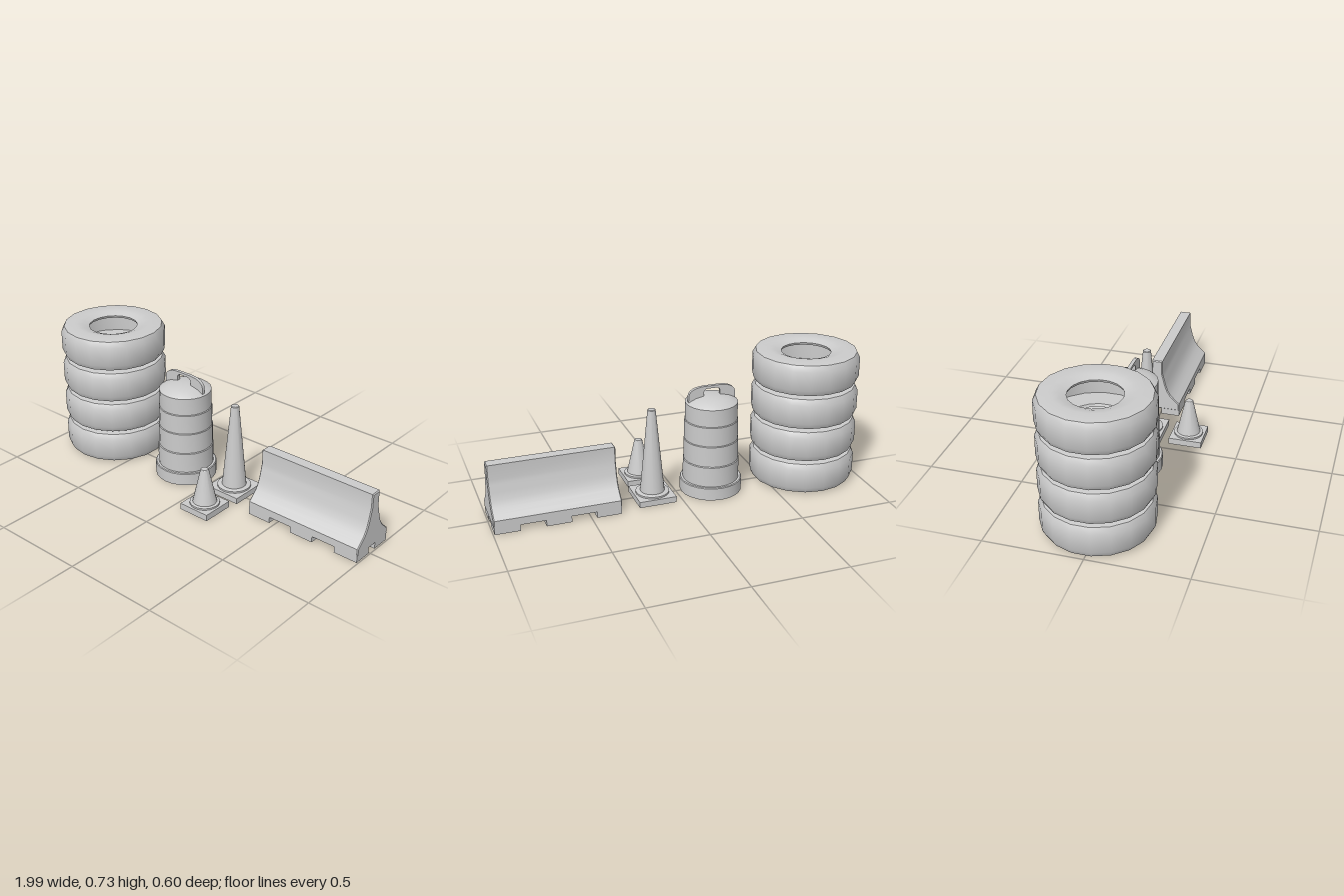
import * as THREE from 'three';
import { toCreasedNormals } from 'three/addons/utils/BufferGeometryUtils.js';

const material = new THREE.MeshStandardMaterial({ color: 0xcccccc });

function add(parent, name, geometry, x = 0, y = 0, z = 0) {
  const mesh = new THREE.Mesh(geometry, material);
  mesh.name = name;
  mesh.position.set(x, y, z);
  parent.add(mesh);
  return mesh;
}

function group(parent, name, x, z) {
  const g = new THREE.Group();
  g.name = name;
  g.position.set(x, 0, z);
  parent.add(g);
  return g;
}

// Revolved [radius, height] profile, smooth around and sharp at the steps
function lathe(points, sides, crease = 0.5) {
  const profile = points.map(([r, y]) => new THREE.Vector2(r, y));
  return toCreasedNormals(new THREE.LatheGeometry(profile, sides), crease);
}

// Stack of four hollow tyres
function addTyres(root) {
  const stack = group(root, 'tyreStack', -0.72, -0.018);
  const geometry = lathe([
    [0.13, 0.02], [0.165, 0.007], [0.2, 0.002], [0.265, 0.01], [0.281, 0.04],
    [0.281, 0.141], [0.265, 0.171], [0.2, 0.179], [0.165, 0.174], [0.13, 0.161],
    [0.135, 0.148], [0.24, 0.148], [0.24, 0.033], [0.135, 0.033], [0.13, 0.02],
  ], 18, 0.7);
  for (let i = 0; i < 4; i++) add(stack, 'tyre', geometry, 0, i * 0.182, 0);
}

// Traffic barrel with weighted base ring and carrying handle
function addBarrel(root) {
  const barrel = group(root, 'barrel', -0.192, -0.013);
  add(barrel, 'barrelBase', lathe([
    [0.132, 0.04], [0.132, 0], [0.164, 0], [0.164, 0.066], [0.16, 0.07], [0.14, 0.07],
  ], 24));
  add(barrel, 'barrelBody', lathe([
    [0, 0.03], [0.148, 0.03], [0.148, 0.178], [0.144, 0.182], [0.144, 0.292], [0.141, 0.296],
    [0.141, 0.399], [0.1375, 0.403], [0.1375, 0.495], [0.125, 0.504], [0.09, 0.52],
    [0.045, 0.529], [0, 0.53],
  ], 24));

  const shape = new THREE.Shape();
  shape.moveTo(-0.128, 0.49);
  shape.lineTo(0.128, 0.49);
  shape.lineTo(0.128, 0.535);
  shape.bezierCurveTo(0.126, 0.565, 0.09, 0.581, 0.04, 0.581);
  shape.lineTo(-0.04, 0.581);
  shape.bezierCurveTo(-0.09, 0.581, -0.126, 0.565, -0.128, 0.535);
  const hole = new THREE.Path();
  hole.moveTo(-0.045, 0.52);
  hole.lineTo(-0.045, 0.548);
  hole.quadraticCurveTo(-0.043, 0.567, -0.022, 0.567);
  hole.lineTo(0.022, 0.567);
  hole.quadraticCurveTo(0.043, 0.567, 0.045, 0.548);
  hole.lineTo(0.045, 0.52);
  shape.holes.push(hole);
  const handle = new THREE.ExtrudeGeometry(shape, { depth: 0.018, bevelEnabled: false, curveSegments: 6 });
  add(barrel, 'barrelHandle', toCreasedNormals(handle, 0.6), 0, 0, -0.007);
}

// Cone on a square foot with a round collar
function addCone(root, name, x, z, footHalf, footHeight, collar, radius, height) {
  const cone = group(root, name, x, z);
  add(cone, 'coneFoot', new THREE.BoxGeometry(footHalf * 2, footHeight, footHalf * 2), 0, footHeight / 2, 0);
  const collarTop = footHeight + 0.012;
  add(cone, 'coneBody', lathe([
    [collar, footHeight - 0.002], [collar, collarTop - 0.003], [collar - 0.006, collarTop],
    [radius, collarTop], [0.021, height - 0.003], [0.018, height], [0, height],
  ], 24));
}

// Concrete road barrier standing on six feet
function addBarrier(root) {
  const barrier = group(root, 'barrier', 0.6675, -0.02);
  const length = 0.655, bevel = 0.005, under = 0.033;
  const half = [[0.122, under + bevel], [0.122, 0.072], [0.098, 0.094], [0.074, 0.118],
    [0.055, 0.148], [0.042, 0.185], [0.032, 0.225], [0.025, 0.25], [0.024, 0.325]];
  const outline = [...half, ...half.map(([x, y]) => [-x, y]).reverse()];
  const shape = new THREE.Shape(outline.map(([x, y]) => new THREE.Vector2(x, y)));
  const body = new THREE.ExtrudeGeometry(shape, {
    depth: length - bevel * 2, bevelSize: bevel, bevelThickness: bevel, bevelSegments: 1,
  });
  body.translate(0, 0, -length / 2 + bevel).rotateY(Math.PI / 2);
  add(barrier, 'barrierBody', toCreasedNormals(body, 0.45));

  const foot = new THREE.BoxGeometry(0.13, 0.045, 0.1);
  for (const x of [-1, 0, 1]) {
    for (const z of [-1, 1]) add(barrier, 'barrierFoot', foot, x * 0.2605, 0.0225, z * 0.077);
  }
}

export function createModel() {
  const root = new THREE.Group();
  root.name = 'roadBarrierSet';
  addTyres(root);
  addBarrel(root);
  addCone(root, 'tallCone', 0.138, -0.022, 0.1, 0.032, 0.088, 0.064, 0.497);
  addCone(root, 'shortCone', 0.137, 0.212, 0.088, 0.034, 0.077, 0.062, 0.232);
  addBarrier(root);
  return root;
}
